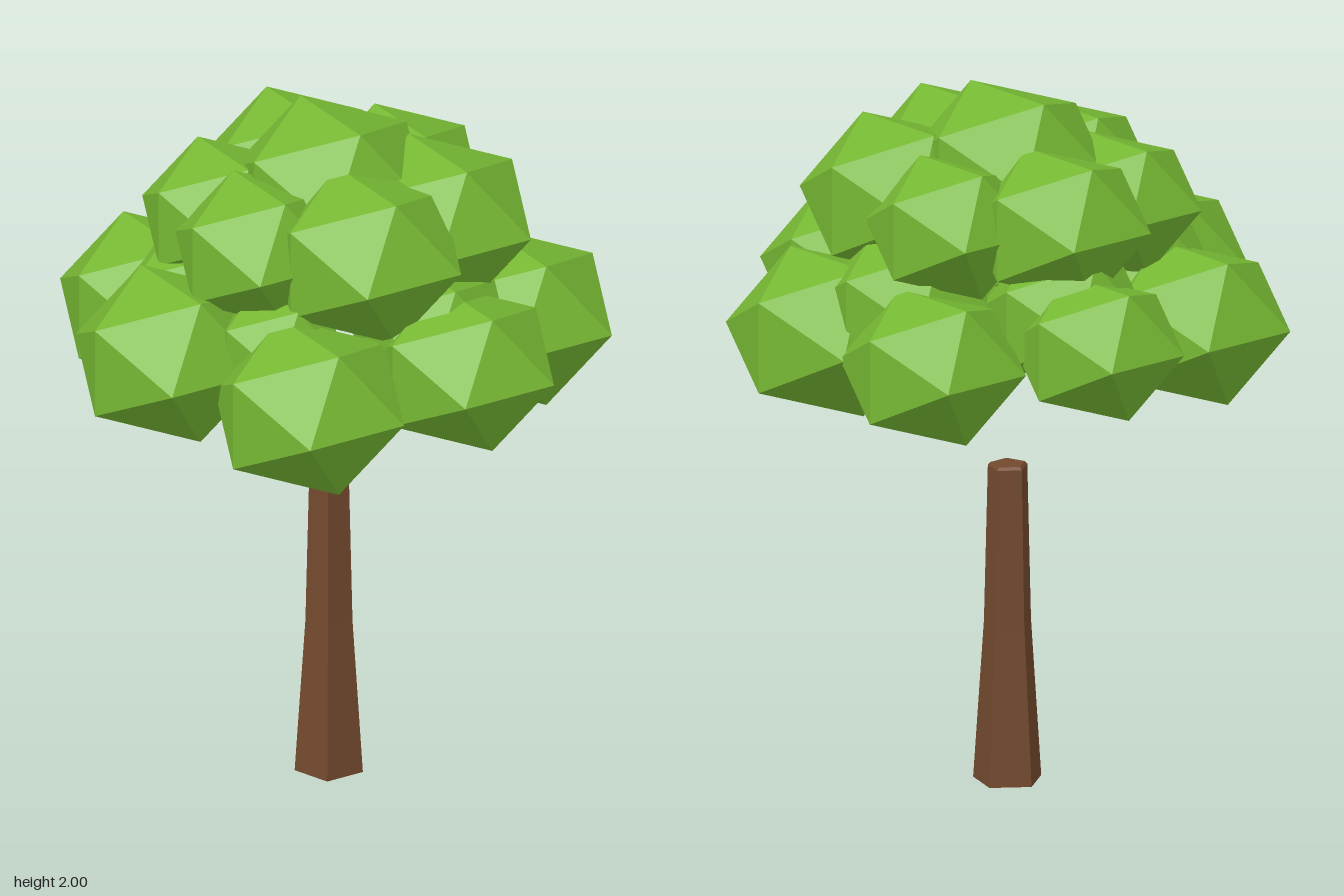
import * as THREE from 'three';

// Each clump of leaves: x, y, z, radius
const lowerRing = [
  [-0.50, 1.40, -0.01, 0.294],
  [-0.30, 1.36, -0.42, 0.285],
  [0.14, 1.40, -0.525, 0.253],
  [0.50, 1.35, -0.24, 0.272],
  [0.50, 1.35, 0.21, 0.295],
  [0.14, 1.40, 0.505, 0.278],
  [-0.305, 1.35, 0.40, 0.294],
];
const innerRing = [
  [0.39, 1.45, 0.00, 0.26],
  [0.12, 1.45, 0.36, 0.25],
  [-0.28, 1.45, 0.20, 0.20],
  [-0.29, 1.45, -0.20, 0.235],
  [0.12, 1.45, -0.36, 0.25],
];
const upperRing = [
  [0.10, 1.70, -0.315, 0.268],
  [0.32, 1.69, -0.11, 0.25],
  [0.25, 1.70, 0.195, 0.288],
  [-0.04, 1.70, 0.28, 0.294],
  [-0.26, 1.695, 0.07, 0.258],
  [-0.20, 1.68, -0.21, 0.25],
];
const crown = [[0.025, 1.787, -0.008, 0.296]];

export function createModel() {
  const tree = new THREE.Group();
  tree.name = 'tree';
  const bark = new THREE.MeshStandardMaterial({ color: 0x73492e, flatShading: true });
  const leaf = new THREE.MeshStandardMaterial({ color: 0x76b833, flatShading: true });

  // Five-sided trunk, flared at the foot, with a flat face to the front
  const profile = [[0, 0], [0.1, 0], [0.069, 0.46], [0.058, 0.912], [0.05, 0.92], [0, 0.92]]
    .map(([r, y]) => new THREE.Vector2(r, y));
  const trunk = new THREE.Mesh(new THREE.LatheGeometry(profile, 5, Math.PI), bark);
  trunk.name = 'trunk';
  trunk.position.set(0.022, 0, -0.008);
  tree.add(trunk);

  // Slightly squashed icosahedra, ridge running front to back
  const clumpGeometry = new THREE.IcosahedronGeometry(1, 0).rotateY(Math.PI / 2).scale(1, 0.845, 1);
  const addClumps = (name, list) => {
    const group = new THREE.Group();
    group.name = name;
    list.forEach(([x, y, z, r], i) => {
      const clump = new THREE.Mesh(clumpGeometry, leaf);
      clump.name = `leafClump${i + 1}`;
      clump.position.set(x, y, z);
      clump.scale.setScalar(r);
      group.add(clump);
    });
    tree.add(group);
  };
  addClumps('lowerFoliage', lowerRing);
  addClumps('innerFoliage', innerRing);
  addClumps('upperFoliage', upperRing);
  addClumps('crownFoliage', crown);

  return tree;
}
